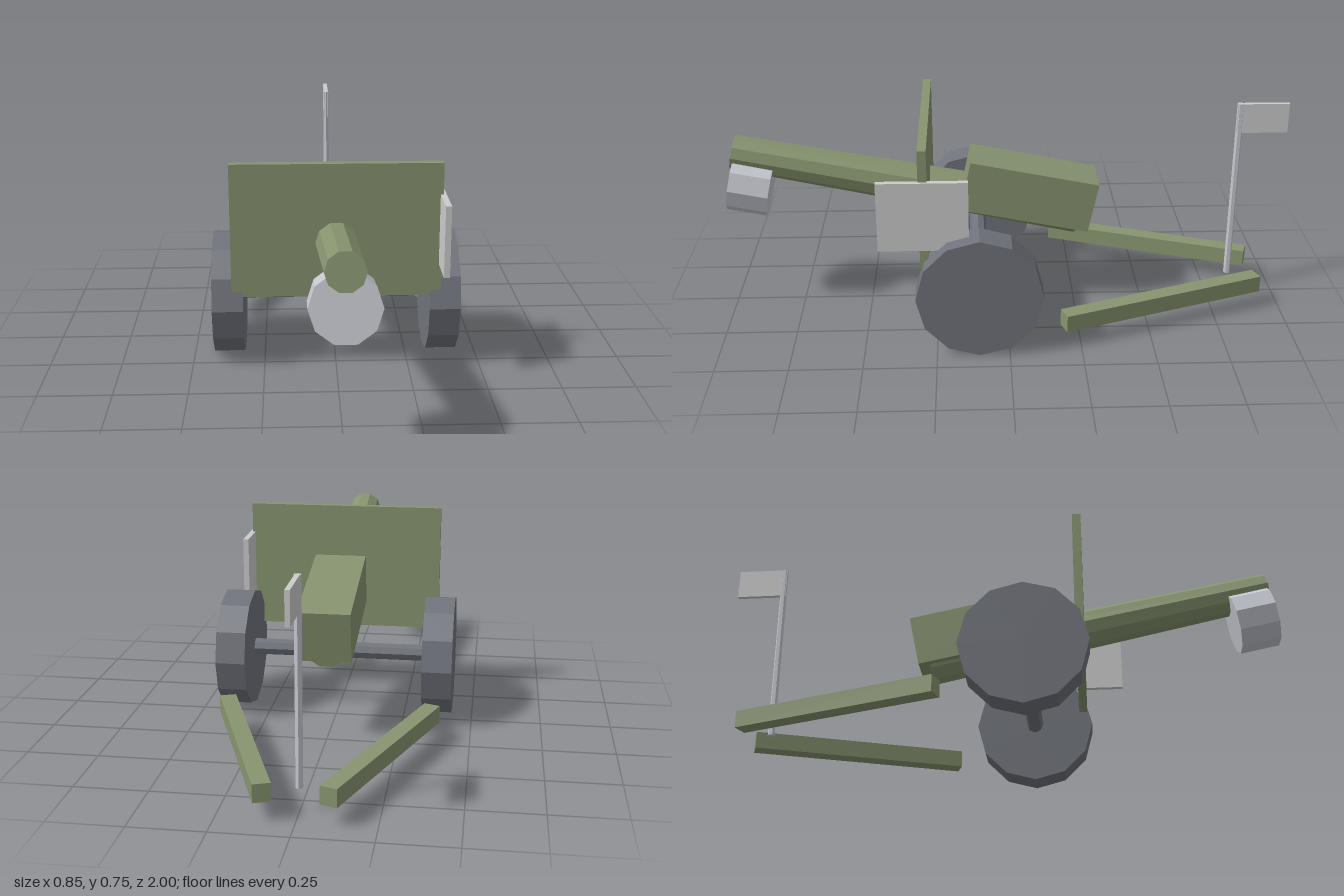
import * as THREE from 'three';

const paint = (color) => new THREE.MeshStandardMaterial({ color, flatShading: true });

export function createModel() {
  const model = new THREE.Group();
  const green = paint(0x87946f);
  const iron = paint(0x70737b);
  const steel = paint(0xc6c8d0);
  const pale = paint(0xcccccc);
  const TILT = -0.2; // elevation of the gun

  const add = (name, geometry, material, x, y, z, parent = model) => {
    const mesh = new THREE.Mesh(geometry, material);
    mesh.name = name;
    mesh.position.set(x, y, z);
    parent.add(mesh);
    return mesh;
  };
  const box = (w, h, d) => new THREE.BoxGeometry(w, h, d);
  // Ten-sided cylinder along +z, flat side up
  const forwardCylinder = (rFront, rBack, length) =>
    new THREE.CylinderGeometry(rFront, rBack, length, 10).rotateY(Math.PI / 2).rotateX(Math.PI / 2);

  // Elevated gun; its origin is the centre of the muzzle face
  const gun = new THREE.Group();
  gun.name = 'gun';
  gun.position.set(0, 0.591, 0.966);
  gun.rotation.x = TILT;
  model.add(gun);
  add('barrel', forwardCylinder(0.062, 0.08, 1.25), green, 0, 0, -0.625, gun);

  // Breech block and the drum below the muzzle share the elevation
  add('breech', box(0.185, 0.185, 0.464), green, 0, 0.438, -0.081).rotation.x = TILT;
  add('muzzleDrum', forwardCylinder(0.109, 0.109, 0.142), steel, 0, 0.472, 0.909).rotation.x = TILT;

  // Shield and the side panel on its left edge
  add('shield', box(0.716, 0.466, 0.03), green, 0, 0.498, 0.287);
  add('sidePanel', box(0.02, 0.246, 0.305), pale, 0.358, 0.499, 0.289);

  // Axle, wheels and splayed trail legs
  add('axle', new THREE.CylinderGeometry(0.031, 0.031, 0.66, 8).rotateZ(Math.PI / 2), iron, 0, 0.218, 0.102);
  for (const [side, s] of [['left', 1], ['right', -1]]) {
    add(side + 'Wheel', new THREE.CylinderGeometry(0.2175, 0.2175, 0.107, 12).rotateZ(Math.PI / 2),
      iron, s * 0.373, 0.2175, 0.102);
    add(side + 'Trail', box(0.058, 0.061, 0.772), green, s * 0.233, 0.095, -0.551).rotation.y = -s * -0.35;
  }

  // Flag on its pole behind the gun
  add('flagPole', new THREE.CylinderGeometry(0.0125, 0.0125, 0.67, 6), steel, 0, 0.415, -0.828);
  add('flag', box(0.016, 0.108, 0.182), pale, 0, 0.696, -0.909);

  return model;
}
